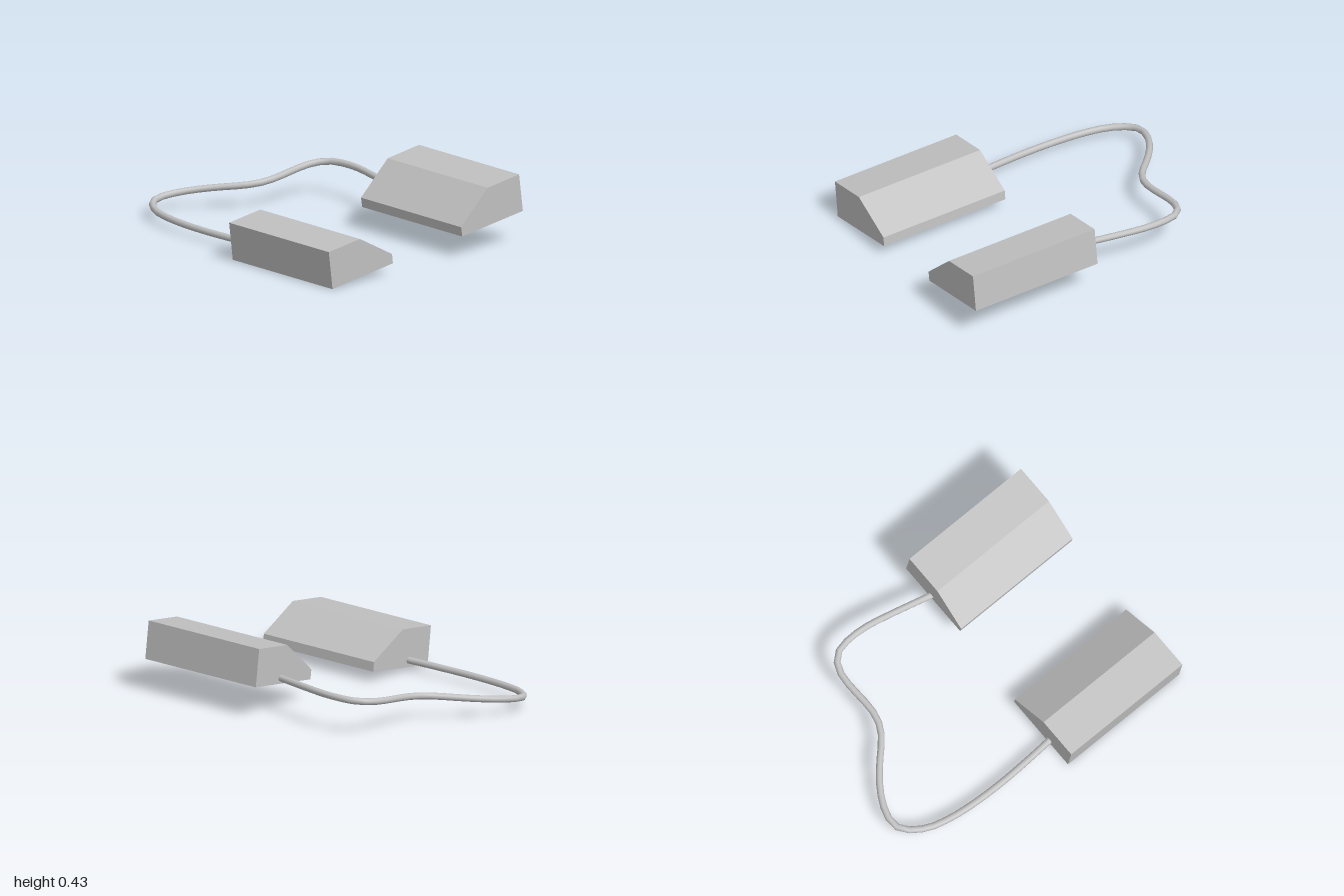
import * as THREE from 'three';

const grey = new THREE.MeshStandardMaterial({ color: 0xc0c0c0 });
grey.name = 'plain grey';

// Bevelled block: a profile in x/y extruded along z
function block(name, profile, zBack, zFront) {
  const shape = new THREE.Shape(profile.map(([x, y]) => new THREE.Vector2(x, y)));
  const geometry = new THREE.ExtrudeGeometry(shape, { depth: zFront - zBack, bevelEnabled: false });
  geometry.translate(0, 0, zBack);
  const mesh = new THREE.Mesh(geometry, grey);
  mesh.name = name;
  return mesh;
}

export function createModel() {
  const model = new THREE.Group();
  model.name = 'cabledBlocks';

  // Two wedge-topped blocks resting on one tilted plane
  model.add(block('rightBlock',
    [[-0.75, 0], [-0.255, 0.066], [-0.262, 0.125], [-0.525, 0.27], [-0.78, 0.237]], 0.085, 0.965));
  model.add(block('leftBlock',
    [[0.28, 0.136], [0.777, 0.2], [0.746, 0.434], [0.489, 0.4], [0.271, 0.196]], 0.117, 1.0));

  // Cable looping behind the blocks, lying in the same tilted plane
  const path = [
    [-0.578, 0.1], [-0.59, -0.12], [-0.595, -0.32], [-0.585, -0.555], [-0.56, -0.725],
    [-0.52, -0.85], [-0.43, -0.963], [-0.36, -0.98], [-0.267, -0.957], [-0.167, -0.902],
    [-0.06, -0.815], [0.055, -0.7], [0.125, -0.65], [0.205, -0.625], [0.283, -0.62],
    [0.447, -0.625], [0.527, -0.617], [0.595, -0.587], [0.637, -0.535], [0.653, -0.45],
    [0.648, -0.317], [0.616, -0.16], [0.545, 0.13],
  ].map(([x, z]) => new THREE.Vector3(x, 0.137 + 0.125 * x, z));
  const curve = new THREE.CatmullRomCurve3(path);
  const cable = new THREE.Mesh(new THREE.TubeGeometry(curve, 40, 0.021, 10), grey);
  cable.name = 'cable';
  model.add(cable);

  return model;
}
